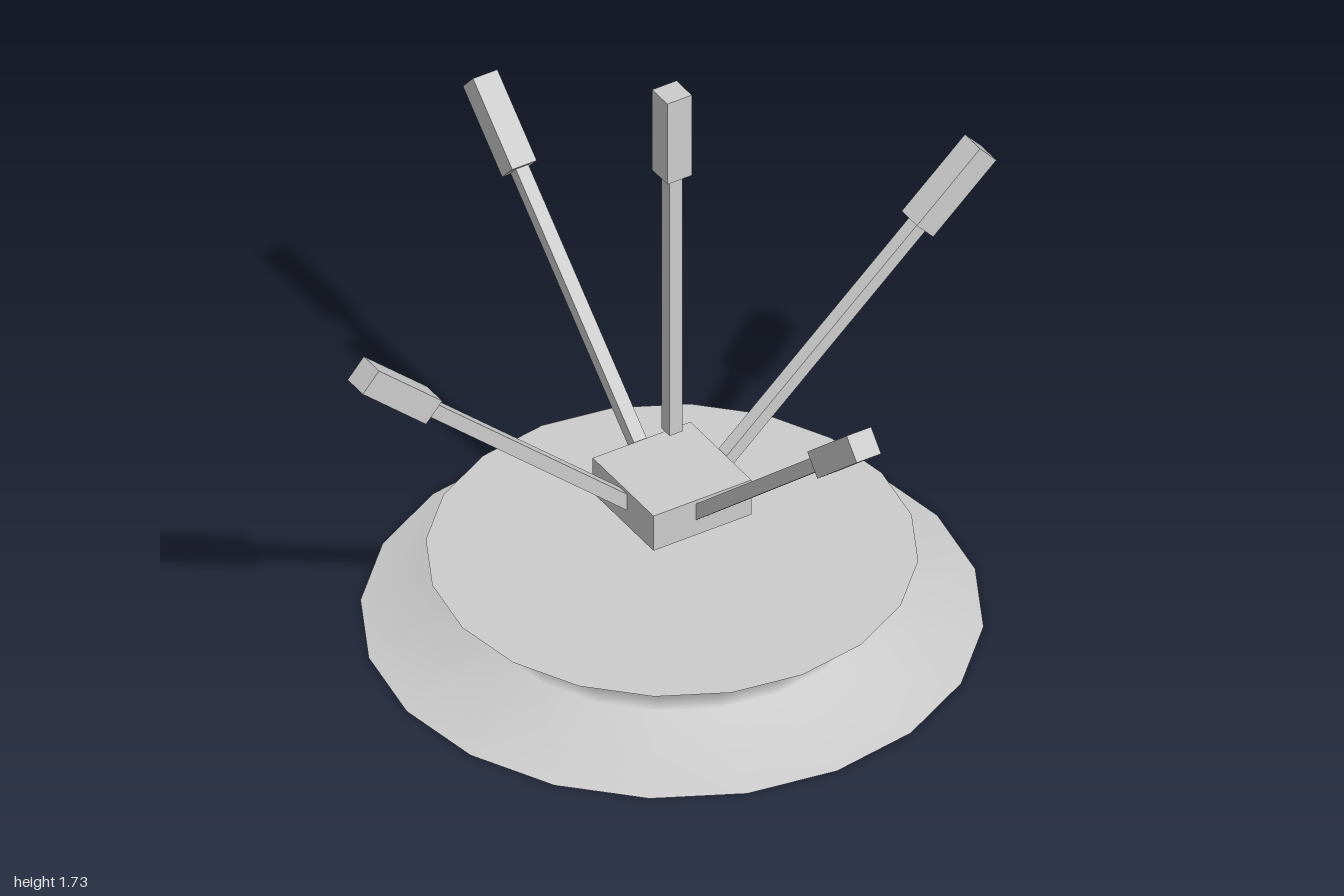
import * as THREE from 'three';

const SIDES = 20;

export function createModel() {
  const model = new THREE.Group();
  const grey = new THREE.MeshStandardMaterial({ color: 0xcccccc });

  const add = (parent, name, geometry, x = 0, y = 0, z = 0) => {
    const mesh = new THREE.Mesh(geometry, grey);
    mesh.name = name;
    mesh.position.set(x, y, z);
    parent.add(mesh);
    return mesh;
  };

  // Waisted base: wide skirt, straight neck, flared top
  const base = new THREE.Group();
  base.name = 'base';
  model.add(base);
  const profile = [[0.835, 0], [0.535, 0.07], [0.535, 0.147], [0.66, 0.21]]
    .map(([r, y]) => new THREE.Vector2(r, y));
  add(base, 'baseWall', new THREE.LatheGeometry(profile, SIDES));
  add(base, 'baseTop', new THREE.CircleGeometry(0.66, SIDES).rotateX(-Math.PI / 2), 0, 0.21, 0);
  add(base, 'baseBottom', new THREE.CircleGeometry(0.835, SIDES).rotateX(Math.PI / 2));

  // Square hub floating above the base
  add(model, 'hub', new THREE.BoxGeometry(0.308, 0.115, 0.308), 0, 0.4225, 0);

  // A thin rod with a thicker head, standing on its own origin
  const makeArm = (name) => {
    const arm = new THREE.Group();
    arm.name = name;
    add(arm, 'rod', new THREE.BoxGeometry(0.04, 0.87, 0.04), 0, 0.435, 0);
    add(arm, 'head', new THREE.BoxGeometry(0.077, 0.267, 0.077), 0, 0.9885, 0);
    return arm;
  };

  // Upright arm hovering over the hub
  const upright = makeArm('uprightArm');
  upright.position.y = 0.61;
  model.add(upright);

  // Four arms leaning outwards, one from each side of the hub
  const lean = THREE.MathUtils.degToRad(48.3);
  ['frontArm', 'leftArm', 'backArm', 'rightArm'].forEach((name, i) => {
    const pivot = new THREE.Group();
    pivot.name = name;
    pivot.rotation.y = i * Math.PI / 2;
    const arm = makeArm('leaningArm');
    arm.position.set(0, 0.424, 0.134);
    arm.rotation.x = lean;
    pivot.add(arm);
    model.add(pivot);
  });

  return model;
}
